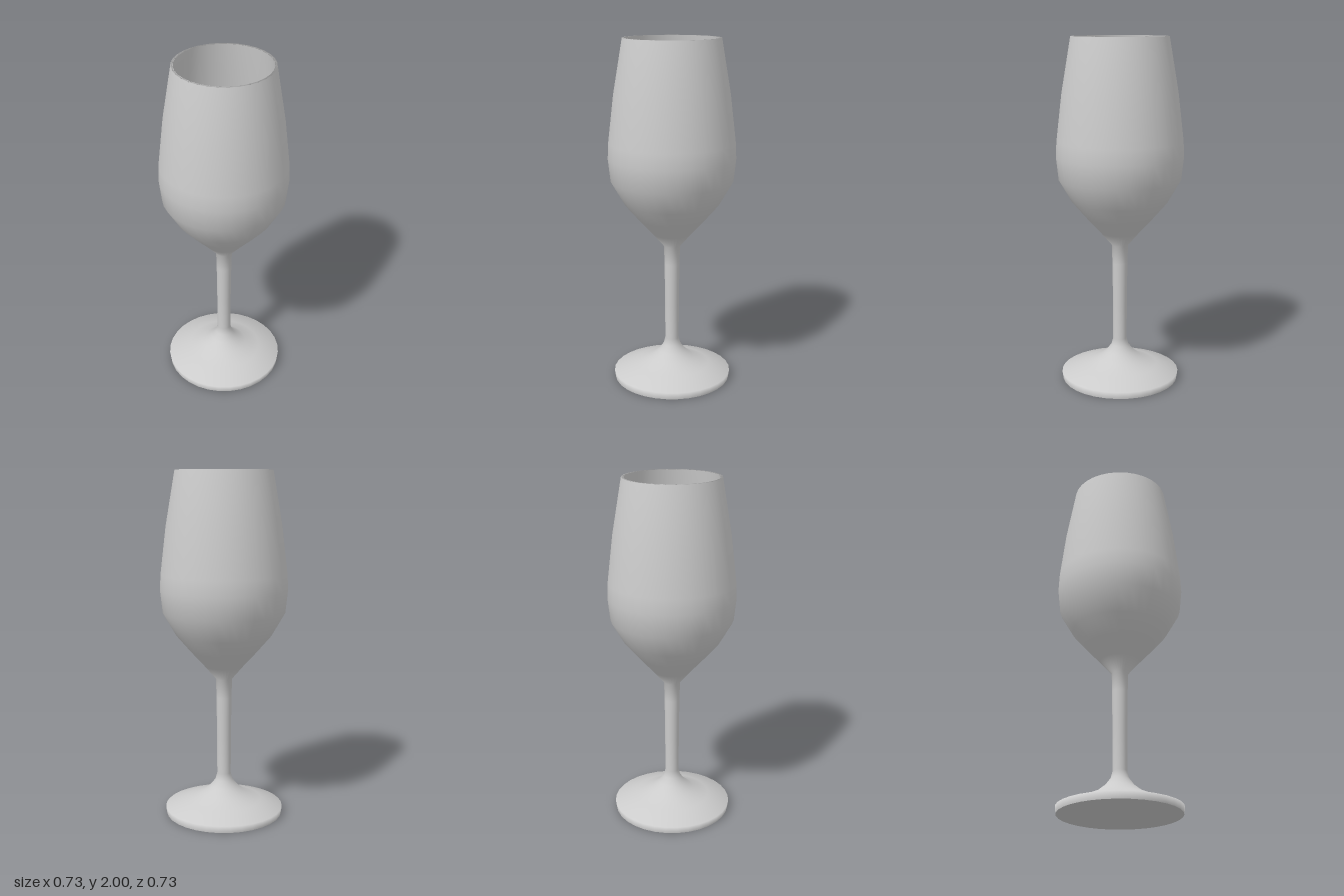
import * as THREE from 'three';

const SEGMENTS = 32;

function lathe(name, points, material) {
  const profile = points.map(([r, y]) => new THREE.Vector2(r, y));
  const mesh = new THREE.Mesh(new THREE.LatheGeometry(profile, SEGMENTS), material);
  mesh.name = name;
  return mesh;
}

export function createModel() {
  const group = new THREE.Group();
  group.name = 'wineGlass';
  const material = new THREE.MeshStandardMaterial({ color: 0xcccccc });

  // Foot, stem and bowl in one smooth profile: up the outside, over the rim, down the inside
  group.add(lathe('glassBody', [
    [0.34, 0], [0.345, 0.04], [0.22, 0.08], [0.13, 0.12], [0.08, 0.16],
    [0.05, 0.2], [0.04, 0.24],
    [0.041, 0.45], [0.044, 0.7], [0.047, 0.81],
    [0.111, 0.885], [0.193, 0.975], [0.275, 1.07], [0.35, 1.2], [0.364, 1.33],
    [0.36, 1.42], [0.328, 1.69], [0.275, 2],
    [0.262, 2], [0.314, 1.69], [0.345, 1.42], [0.349, 1.33], [0.335, 1.205],
    [0.262, 1.085], [0.18, 0.99], [0.1, 0.91], [0.045, 0.87], [0, 0.86],
  ], material));

  // Flat underside with a sharp edge
  group.add(lathe('footUnderside', [[0, 0], [0.34, 0]], material));

  return group;
}
